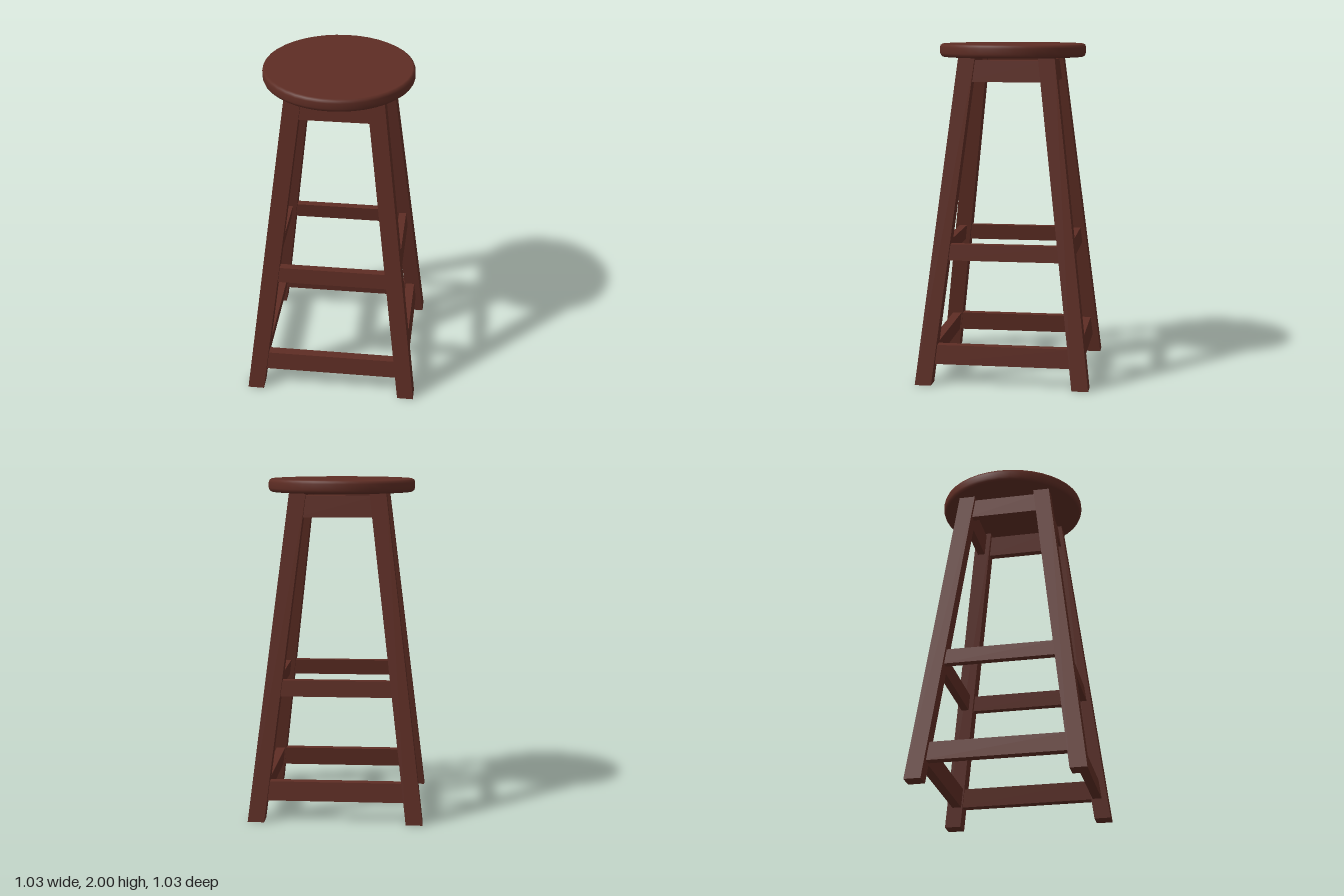
import * as THREE from 'three';

const wood = new THREE.MeshStandardMaterial({ color: 0x5e2d24 });
wood.name = 'dark brown wood';

// Horizontal inward drift of the splayed legs per unit of height
const SPLAY = 0.12;

// Box whose vertices lean inward with height; y runs from y0 to y1
function leaningBox(name, width, depth, y0, y1, leanX, leanZ) {
  const geometry = new THREE.BoxGeometry(width, y1 - y0, depth);
  geometry.translate(0, (y0 + y1) / 2, 0);
  const p = geometry.attributes.position;
  for (let i = 0; i < p.count; i++) {
    const drift = (p.getY(i) - y0) * SPLAY;
    // a rail has leanX = 0: its ends follow the legs on both sides
    const dx = leanX ? drift * leanX : drift * Math.sign(p.getX(i));
    p.setX(i, p.getX(i) - dx);
    p.setZ(i, p.getZ(i) - drift * leanZ);
  }
  geometry.computeVertexNormals();
  const mesh = new THREE.Mesh(geometry, wood);
  mesh.name = name;
  return mesh;
}

export function createModel() {
  const stool = new THREE.Group();
  stool.name = 'stool';

  // Round seat with softly eased edges
  const profile = [
    [0, 1.922], [0.425, 1.922], [0.435, 1.93], [0.441, 1.945],
    [0.441, 1.978], [0.436, 1.992], [0.425, 1.999], [0, 2],
  ].map(([r, y]) => new THREE.Vector2(r, y));
  const seat = new THREE.Mesh(new THREE.LatheGeometry(profile, 40), wood);
  seat.name = 'seat';
  seat.position.x = -0.005;
  stool.add(seat);

  // Four splayed square legs
  for (const sx of [-1, 1]) {
    for (const sz of [-1, 1]) {
      const leg = leaningBox('leg', 0.098, 0.098, 0, 1.924, sx, sz);
      leg.position.set(sx * 0.466, 0, sz * 0.466);
      stool.add(leg);
    }
  }

  // Rails on all four sides: name, bottom, top, outer distance, half length, thickness
  const rails = [
    ['lowerRail', 0.12, 0.233, 0.466, 0.44, 0.055],
    ['middleRail', 0.735, 0.83, 0.4, 0.37, 0.045],
    ['apron', 1.78, 1.907, 0.277, 0.245, 0.045],
  ];
  for (const [name, y0, y1, outer, half, thick] of rails) {
    for (let i = 0; i < 4; i++) {
      const side = new THREE.Group();
      side.name = name + 'Side';
      const rail = leaningBox(name, half * 2, thick, y0, y1, 0, 1);
      rail.position.z = outer - thick / 2;
      side.add(rail);
      side.rotation.y = (i * Math.PI) / 2;
      stool.add(side);
    }
  }
  return stool;
}
